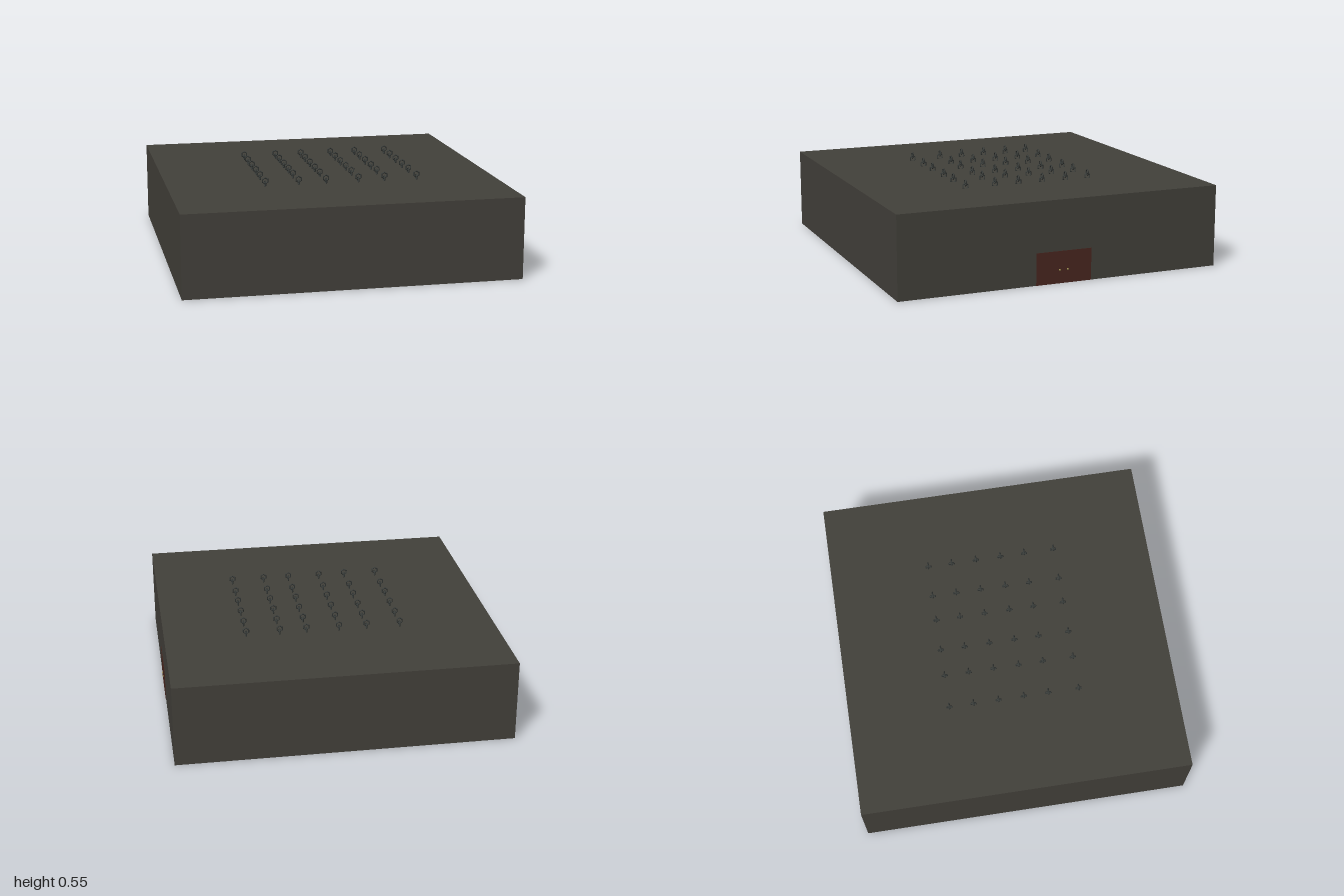
import * as THREE from 'three';

const material = (color) => new THREE.MeshStandardMaterial({ color, flatShading: true });

function addMesh(parent, name, geometry, mat, x, y, z) {
  const mesh = new THREE.Mesh(geometry, mat);
  mesh.name = name;
  mesh.position.set(x, y, z);
  parent.add(mesh);
  return mesh;
}

export function createModel() {
  const model = new THREE.Group();
  model.name = 'flatRoofedBuilding';

  const wallMat = material(0x42403a);
  const doorMat = material(0x48261f);
  const knobMat = material(0x9a8a50);
  const ringMat = material(0x363a38);

  // Main block
  addMesh(model, 'building', new THREE.BoxGeometry(1.99, 0.49, 1.99), wallMat, -0.005, 0.245, 0);

  // Double door, almost flush with the left wall
  addMesh(model, 'door', new THREE.BoxGeometry(0.02, 0.19, 0.345), doorMat, 0.982, 0.095, -0.007);

  // Pair of door knobs
  const knobGeo = new THREE.SphereGeometry(0.006, 8, 6);
  for (const z of [0.02, -0.03]) {
    addMesh(model, 'doorKnob', knobGeo, knobMat, 0.994, 0.08, z);
  }

  // Grid of interlocked hexagonal rings on the roof
  const ringGeo = new THREE.TorusGeometry(0.018, 0.0045, 4, 6);
  ringGeo.rotateZ(Math.PI / 6);
  const columns = [-0.425, -0.222, -0.055, 0.143, 0.304, 0.505];
  const rows = [-0.387, -0.24, -0.087, 0.068, 0.218, 0.404];
  for (const x of columns) {
    for (const z of rows) {
      const links = new THREE.Group();
      links.name = 'roofRings';
      links.position.set(x, 0, z);
      addMesh(links, 'upperRing', ringGeo, ringMat, 0, 0.523, 0);
      addMesh(links, 'lowerRing', ringGeo, ringMat, 0, 0.503, 0).rotation.y = Math.PI / 2;
      model.add(links);
    }
  }
  return model;
}
